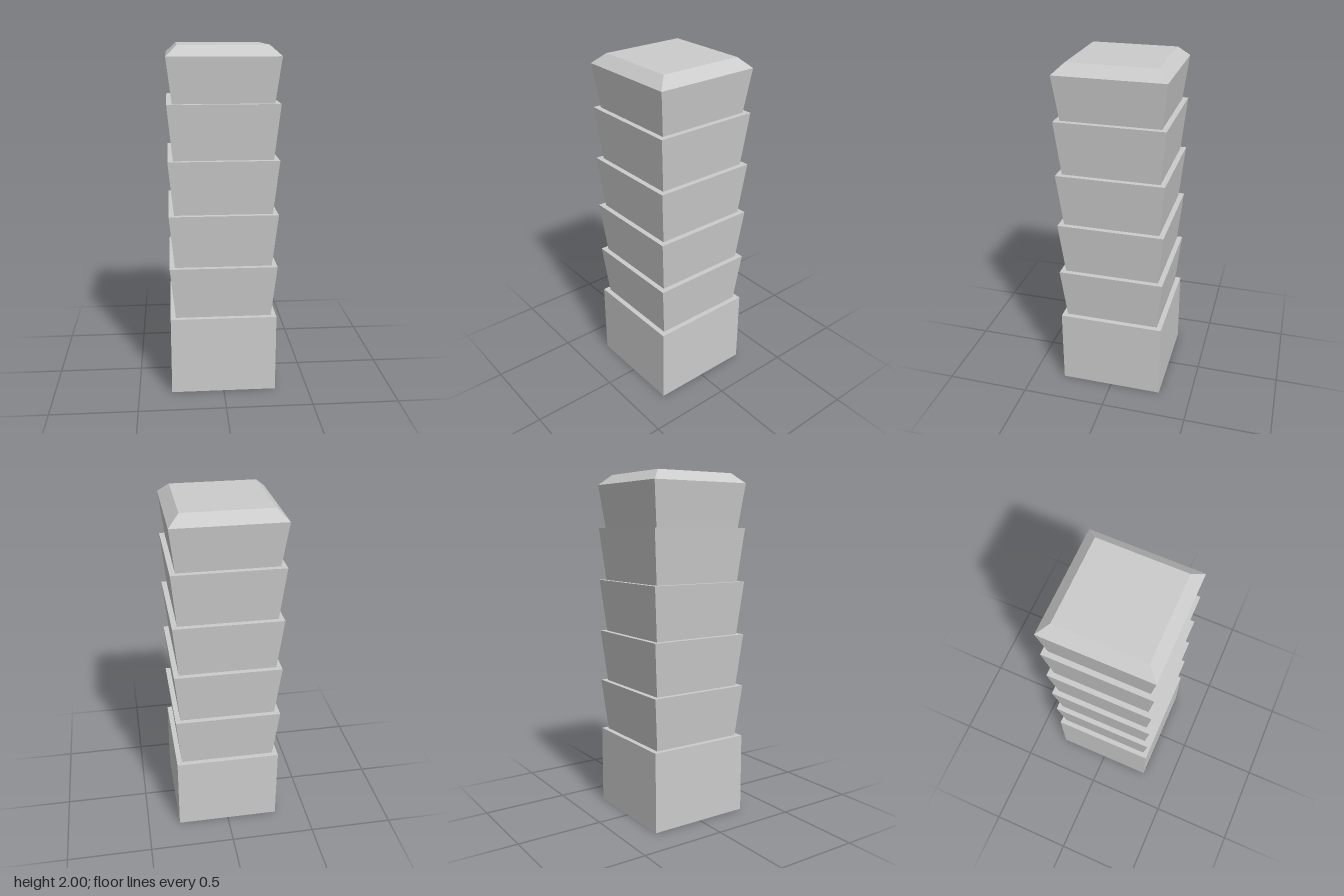
import * as THREE from 'three';

const HALF = 0.307;      // half width at the widest level
const NECK = 0.277;      // half width at the foot of each tier
const BASE_TOP = 0.465;
const STEP = 0.3075;     // height of a full tier
const EAVE = 1.943;      // where the roof bevel starts

const material = new THREE.MeshStandardMaterial({ color: 0xcccccc, flatShading: true });

// Four-sided section from a profile of [half width, height] pairs, bottom to top
function squareSection(name, profile) {
  const points = profile.map(([half, y]) => new THREE.Vector2(half * Math.SQRT2, y));
  const mesh = new THREE.Mesh(new THREE.LatheGeometry(points, 4, Math.PI / 4), material);
  mesh.name = name;
  return mesh;
}

export function createModel() {
  const tower = new THREE.Group();
  tower.name = 'tieredTower';

  // Straight base with its underside and the ledge around the first tier
  tower.add(squareSection('base', [[0, 0], [HALF, 0], [HALF, BASE_TOP], [NECK, BASE_TOP]]));

  // Flared tiers, each ending in a narrow ledge
  for (let i = 0; i < 4; i++) {
    const y0 = BASE_TOP + i * STEP;
    const y1 = y0 + STEP;
    tower.add(squareSection(`tier${i + 1}`, [[NECK, y0], [HALF, y1], [NECK, y1]]));
  }

  // Shorter top tier and bevelled roof
  tower.add(squareSection('topTier', [[NECK, BASE_TOP + 4 * STEP], [HALF, EAVE]]));
  tower.add(squareSection('roof', [[HALF, EAVE], [0.246, 2], [0, 2]]));

  return tower;
}
